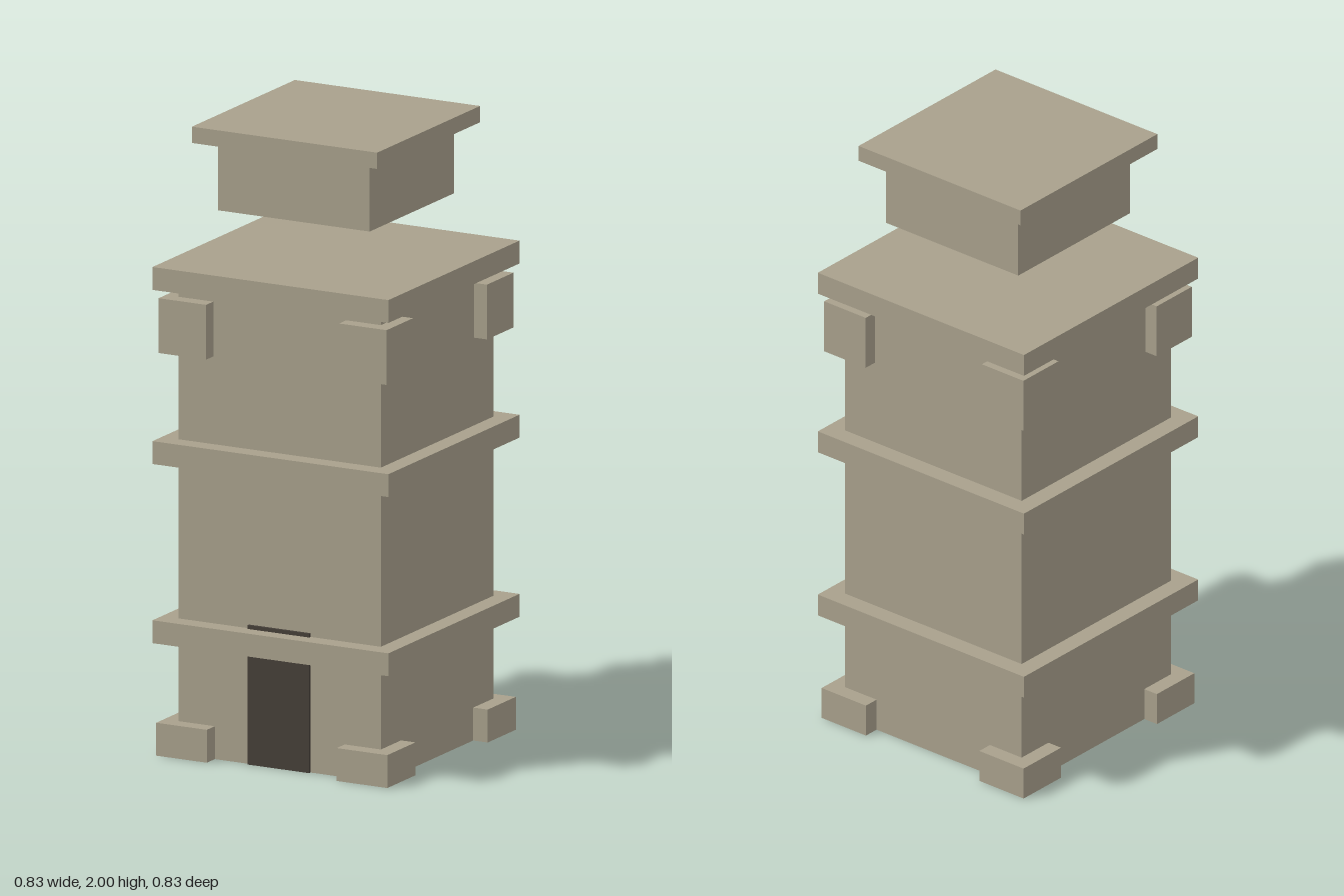
import * as THREE from 'three';

export function createModel() {
  const tower = new THREE.Group();
  tower.name = 'tower';
  const stone = new THREE.MeshStandardMaterial({ color: 0xa8a08c });
  stone.name = 'stone';
  const darkWood = new THREE.MeshStandardMaterial({ color: 0x453f38 });
  darkWood.name = 'dark wood';

  // Box spanning y0..y1, centred on (x, z)
  function block(name, width, depth, y0, y1, x = 0, z = 0, material = stone) {
    const mesh = new THREE.Mesh(new THREE.BoxGeometry(width, y1 - y0, depth), material);
    mesh.name = name;
    mesh.position.set(x, (y0 + y1) / 2, z);
    tower.add(mesh);
  }

  // Shaft and the three ledges around it
  block('shaft', 0.715, 0.715, 0, 1.488);
  block('lowerLedge', 0.834, 0.834, 0.36, 0.433);
  block('middleLedge', 0.834, 0.834, 0.932, 1.005);
  block('upperLedge', 0.834, 0.834, 1.488, 1.561);

  // Footings and brackets on the four corners
  for (const sx of [-1, 1]) {
    for (const sz of [-1, 1]) {
      block('cornerFooting', 0.179, 0.179, 0, 0.105, sx * 0.319, sz * 0.319);
      block('cornerBracket', 0.168, 0.168, 1.285, 1.46, sx * 0.319, sz * 0.319);
    }
  }

  // Floating top: neck and cap
  block('topNeck', 0.536, 0.536, 1.727, 1.948);
  block('topCap', 0.655, 0.655, 1.948, 2);

  // Thin door panel on the front
  block('door', 0.218, 0.009, 0, 0.445, 0, 0.362, darkWood);

  return tower;
}
